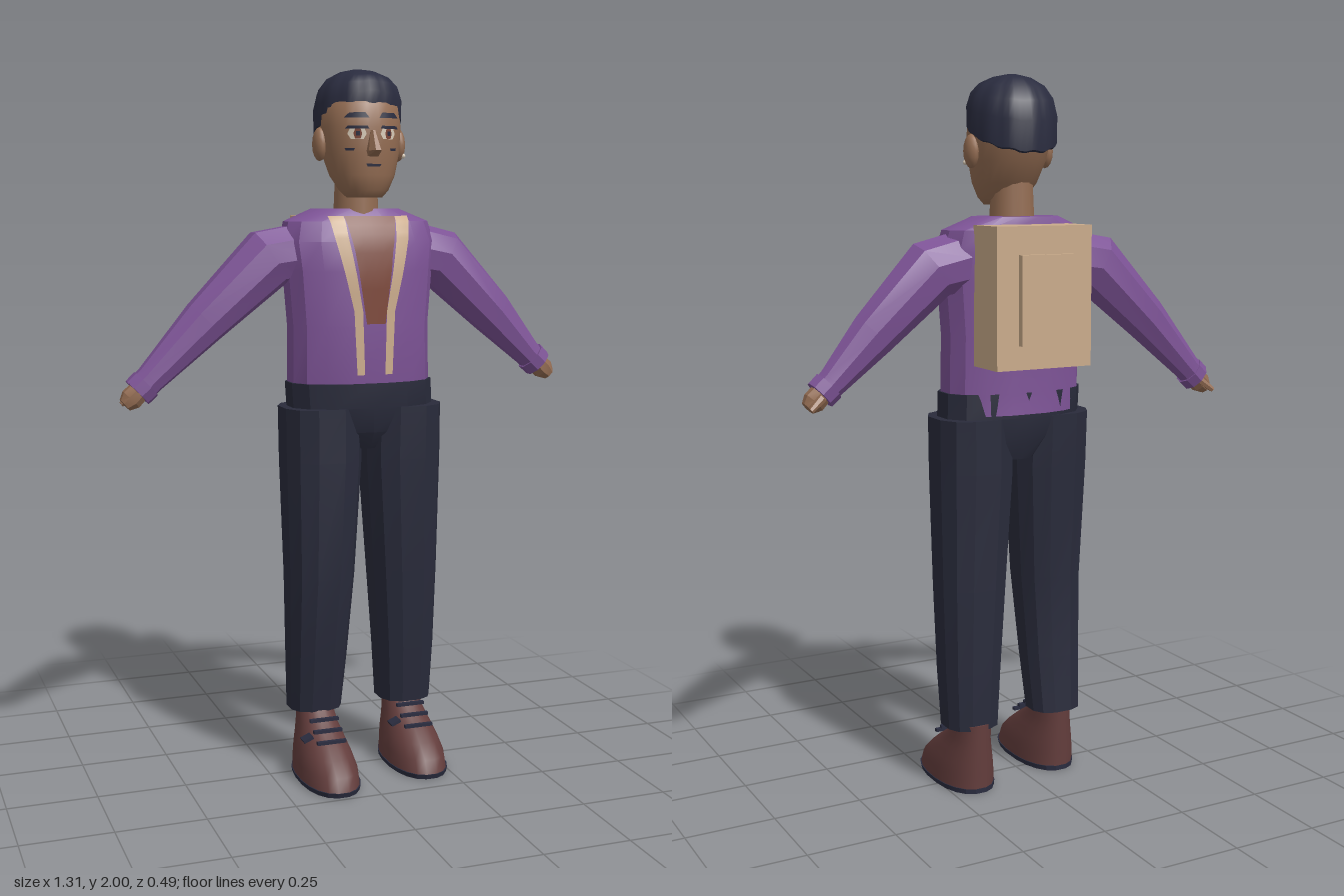
import * as THREE from 'three';
import { toCreasedNormals } from 'three/addons/utils/BufferGeometryUtils.js';

const CX = 0.022; // body axis

const mat = (name, color, side = THREE.FrontSide) => {
  const m = new THREE.MeshStandardMaterial({ color, side });
  m.name = name;
  return m;
};

// Capped skin through rings { c: centre, u, v: half-axis vectors }, p = roundness power
function loft(rings, sides, p = 2, crease = 0.4, rule = null) {
  const pos = [], idx = [];
  const pw = (t) => Math.sign(t) * Math.abs(t) ** (2 / p);
  for (const { c, u, v } of rings) {
    for (let j = 0; j < sides; j++) {
      const a = ((j + 0.5) / sides) * Math.PI * 2;
      const q = c.clone().addScaledVector(u, pw(Math.cos(a))).addScaledVector(v, pw(Math.sin(a)));
      if (rule) rule(q, a);
      pos.push(q.x, q.y, q.z);
    }
  }
  const last = rings.length - 1;
  for (let i = 0; i < last; i++) {
    for (let j = 0; j < sides; j++) {
      const a = i * sides + j, b = i * sides + ((j + 1) % sides);
      idx.push(a, a + sides, b, b, a + sides, b + sides);
    }
  }
  for (const [i, top] of [[0, false], [last, true]]) {
    const q = rings[i].c.clone();
    if (rule) rule(q, 0);
    const centre = pos.length / 3;
    pos.push(q.x, q.y, q.z);
    for (let j = 0; j < sides; j++) {
      const a = i * sides + j, b = i * sides + ((j + 1) % sides);
      idx.push(centre, top ? b : a, top ? a : b);
    }
  }
  const g = new THREE.BufferGeometry();
  g.setAttribute('position', new THREE.Float32BufferAttribute(pos, 3));
  g.setIndex(idx);
  return toCreasedNormals(g, crease);
}

// Upright rings from rows [y, x, z, rx, rz]
const upright = (rows) => rows.map(([y, x, z, rx, rz]) => ({
  c: new THREE.Vector3(x, y, z), u: new THREE.Vector3(rx, 0, 0), v: new THREE.Vector3(0, 0, rz),
}));

// Rings across a limb from rows [x, y, z, half height, half depth]
function limb(rows) {
  const pts = rows.map((r) => new THREE.Vector3(r[0], r[1], r[2]));
  const zAxis = new THREE.Vector3(0, 0, 1);
  return rows.map((r, i) => {
    const d = pts[Math.min(i + 1, pts.length - 1)].clone().sub(pts[Math.max(i - 1, 0)]);
    d.z = 0;
    return { c: pts[i], u: d.normalize().cross(zAxis).multiplyScalar(r[3]), v: zAxis.clone().multiplyScalar(r[4]) };
  });
}

// Front depth of an upright lofted body at x, y
function frontZ(rows, p, x, y) {
  let i = 0;
  while (i < rows.length - 2 && y > rows[i + 1][0]) i++;
  const t = THREE.MathUtils.clamp((y - rows[i][0]) / (rows[i + 1][0] - rows[i][0]), 0, 1);
  const [, cx, cz, rx, rz] = rows[i].map((v, k) => THREE.MathUtils.lerp(v, rows[i + 1][k], t));
  return cz + rz * Math.max(0, 1 - Math.abs((x - cx) / rx) ** p) ** (1 / p);
}

// Thin panel following a body; outline rows [left x, right x, y] run downwards
function panel(rows, p, outline, off) {
  const pos = [], idx = [], cols = 4, steps = 4;
  const n = (outline.length - 1) * steps;
  for (let r = 0; r <= n; r++) {
    const i = Math.min(Math.floor(r / steps), outline.length - 2);
    const [xl, xr, y] = outline[i].map((v, k) => THREE.MathUtils.lerp(v, outline[i + 1][k], r / steps - i));
    for (let c = 0; c <= cols; c++) {
      const x = xl + ((xr - xl) * c) / cols;
      pos.push(x, y, frontZ(rows, p, x, y) + off);
      if (r < n && c < cols) {
        const a = r * (cols + 1) + c, b = a + cols + 1;
        idx.push(a, b, a + 1, a + 1, b, b + 1);
      }
    }
  }
  const g = new THREE.BufferGeometry();
  g.setAttribute('position', new THREE.Float32BufferAttribute(pos, 3));
  g.setIndex(idx);
  g.computeVertexNormals();
  return g;
}

export function createModel() {
  const root = new THREE.Group();
  root.name = 'walker';
  const skin = mat('skin', 0x936c52), purple = mat('purple cloth', 0x7d5396), navy = mat('navy cloth', 0x292b3b);
  const hairMat = mat('hair', 0x2a2c3f, THREE.DoubleSide), tan = mat('tan canvas', 0xcaab8b, THREE.DoubleSide);
  const shirtMat = mat('rust shirt', 0x7c4536, THREE.DoubleSide), leather = mat('shoe leather', 0x633d3c);
  const white = mat('eye white', 0xd8cbb8, THREE.DoubleSide);
  const add = (name, geo, material, x = 0, y = 0, z = 0) => {
    const m = new THREE.Mesh(geo, material);
    m.name = name;
    m.position.set(x, y, z);
    root.add(m);
    return m;
  };

  // Jacket body with open-front trim and shirt
  const torso = [
    [1.08, CX, -0.012, 0.195, 0.113], [1.14, CX, -0.005, 0.206, 0.116], [1.3, CX, -0.008, 0.204, 0.117],
    [1.45, CX, -0.01, 0.216, 0.118], [1.53, CX, -0.016, 0.225, 0.112], [1.585, CX, -0.025, 0.21, 0.1],
    [1.62, CX, -0.035, 0.125, 0.083]];
  add('jacket', loft(upright(torso), 16, 2.4), purple);
  add('shirt', panel(torso, 2.4, [[-0.045, 0.105, 1.6], [-0.025, 0.085, 1.5], [0.005, 0.06, 1.305]], 0.005), shirtMat);
  for (const s of [-1, 1]) {
    const trim = [[0.075, 0.118, 1.6], [0.07, 0.108, 1.54], [0.035, 0.06, 1.34], [0.03, 0.052, 1.165]]
      .map(([a, b, y]) => (s > 0 ? [0.028 + a, 0.028 + b, y] : [0.028 - b, 0.028 - a, y]));
    add('jacketTrim', panel(torso, 2.4, trim, 0.008), tan);
  }

  // Sleeves, cuffs and hands
  const arms = {
    right: [[-0.13, 1.5, -0.025, 0.085, 0.07], [-0.235, 1.485, -0.025, 0.088, 0.076], [-0.42, 1.315, -0.02, 0.066, 0.06],
      [-0.575, 1.163, -0.012, 0.042, 0.04], [-0.612, 1.127, -0.012, 0.042, 0.04]],
    left: [[0.18, 1.5, -0.03, 0.085, 0.07], [0.28, 1.48, -0.033, 0.086, 0.076], [0.45, 1.315, -0.03, 0.066, 0.056],
      [0.565, 1.195, -0.027, 0.042, 0.038], [0.6, 1.163, -0.027, 0.04, 0.036]],
  };
  for (const [side, rows] of Object.entries(arms)) {
    const s = side === 'left' ? 1 : -1;
    const [x, y, z] = rows[4];
    add(side + 'Sleeve', loft(limb(rows), 9), purple);
    add(side + 'Cuff', loft(limb([[x - s * 0.025, y + 0.023, z, 0.046, 0.043], [x, y, z, 0.045, 0.041]]), 9), purple);
    add(side + 'Hand', loft(limb([[x - s * 0.01, y + 0.01, z, 0.03, 0.028], [x + s * 0.018, y - 0.018, z, 0.032, 0.03],
      [x + s * 0.035, y - 0.033, z, 0.02, 0.022]]), 8), skin);
    add(side + 'Thumb', loft(limb([[x, y - 0.005, z - 0.022, 0.012, 0.01],
      [x + s * 0.038, y - 0.035, z - 0.035, 0.008, 0.008]]), 6), skin);
  }

  // Trousers
  add('trouserSeat', loft(upright([[0.95, 0.033, -0.015, 0.065, 0.08], [1.0, 0.033, -0.008, 0.12, 0.105],
    [1.07, 0.026, -0.005, 0.212, 0.117], [1.14, CX, -0.003, 0.213, 0.117]]), 14, 2.4), navy);
  const legs = {
    right: [[0.185, -0.107, -0.028, 0.078, 0.07], [0.35, -0.107, -0.005, 0.087, 0.08], [0.59, -0.105, 0.018, 0.098, 0.098],
      [0.92, -0.094, 0, 0.114, 0.113], [1.07, -0.095, -0.003, 0.114, 0.117]],
    left: [[0.185, 0.173, -0.038, 0.079, 0.08], [0.35, 0.17, -0.03, 0.088, 0.09], [0.59, 0.16, -0.017, 0.1, 0.101],
      [0.92, 0.146, -0.004, 0.115, 0.114], [1.07, 0.147, -0.003, 0.114, 0.117]],
  };
  for (const [side, rows] of Object.entries(legs)) add(side + 'TrouserLeg', loft(upright(rows), 12, 2.5), navy);

  // Shoes; f = toe, b = heel along z
  for (const [side, x, f, b] of [['right', -0.107, 0.243, -0.085], ['left', 0.177, 0.197, -0.122]]) {
    const ring = (y, front, rx) => [y, x, (front + b) / 2, rx, (front - b) / 2];
    add(side + 'Sole', loft(upright([ring(0, f - 0.004, 0.082), ring(0.014, f, 0.085)]), 20, 2.3), hairMat);
    add(side + 'Shoe', loft(upright([ring(0.014, f - 0.002, 0.083), ring(0.05, f - 0.018, 0.081), ring(0.085, f - 0.06, 0.074),
      ring(0.12, f - 0.11, 0.064), ring(0.15, f - 0.16, 0.056), ring(0.2, f - 0.215, 0.05)]), 20, 2.2, 0.7), leather);
    for (let i = 0; i < 3; i++) {
      add(side + 'Lace', new THREE.BoxGeometry(0.085, 0.009, 0.012), hairMat, x, 0.125 + i * 0.022, f - 0.11 - i * 0.033);
    }
    const bow = add(side + 'LaceEnd', new THREE.BoxGeometry(0.03, 0.008, 0.035), hairMat, x - 0.06, 0.13, f - 0.15);
    bow.rotation.z = 0.4;
  }

  // Backpack with raised pocket
  add('backpack', new THREE.BoxGeometry(0.288, 0.38, 0.135), tan, 0.035, 1.41, -0.16);
  add('backpackPocket', new THREE.BoxGeometry(0.158, 0.24, 0.02), tan, 0.035, 1.405, -0.236);

  // Head, neck and ears
  const head = [
    [1.65, CX, 0.04, 0.05, 0.05], [1.67, CX, 0.038, 0.068, 0.068], [1.71, CX, 0.025, 0.09, 0.088],
    [1.77, CX, 0.01, 0.106, 0.109], [1.84, CX, -0.002, 0.114, 0.121], [1.9, CX, -0.012, 0.112, 0.119],
    [1.96, CX, -0.015, 0.08, 0.08]];
  add('head', loft(upright(head), 24, 2.1, 1), skin);
  add('neck', new THREE.CylinderGeometry(0.058, 0.065, 0.16, 14), skin, 0.015, 1.65, -0.005);
  for (const s of [-1, 1]) {
    add('ear', new THREE.SphereGeometry(1, 12, 8), skin, CX + s * 0.115, 1.795, 0).scale.set(0.02, 0.046, 0.029);
  }
  add('earring', new THREE.SphereGeometry(0.007, 8, 6), white, 0.148, 1.765, 0.015);

  // Face
  add('nose', loft(upright([[1.76, 0.02, 0.115, 0.016, 0.012], [1.775, 0.02, 0.118, 0.02, 0.046],
    [1.83, 0.02, 0.112, 0.008, 0.014]]), 8), skin);
  const face = (name, outline, off, m) => add(name, panel(head, 2.1, outline, off), m);
  for (const s of [-1, 1]) {
    const at = (c, w, y) => [0.02 + s * c - w, 0.02 + s * c + w, y];
    face('eye', [at(0.044, 0.018, 1.834), at(0.044, 0.024, 1.82), at(0.044, 0.016, 1.806)], 0.005, white);
    face('iris', [at(0.044, 0.007, 1.833), at(0.044, 0.011, 1.82), at(0.044, 0.007, 1.807)], 0.008, shirtMat);
    face('pupil', [at(0.044, 0.005, 1.826), at(0.044, 0.005, 1.815)], 0.01, hairMat);
    face('upperLid', [at(0.045, 0.024, 1.841), at(0.046, 0.03, 1.833)], 0.014, hairMat);
    face('eyebrow', [at(0.044, 0.02, 1.876), at(0.046, 0.032, 1.862)], 0.014, hairMat);
    face('cheekMark', [at(0.062, 0.012, 1.782), at(0.062, 0.009, 1.775)], 0.005, hairMat);
  }
  face('mouth', [[0, 0.044, 1.74], [0.004, 0.04, 1.733]], 0.005, hairMat);

  // Hair: lobed cap, swept up at the brow and lower at the nape
  const capRows = [[0, 0.93], [0.02, 1], [0.4, 1.01], [0.65, 0.92], [0.83, 0.73], [0.95, 0.42], [1, 0.1]]
    .map(([h, r]) => [h, 0.025, -0.024, 0.123 * r, 0.13 * r]);
  add('hair', loft(upright(capRows), 48, 2, 0.6, (q, a) => {
    const front = Math.sin(a), lobe = 1 - 0.035 * Math.abs(Math.sin(a * 6)) * (q.y > 0.01 ? 1 : 0.4);
    q.x = 0.025 + (q.x - 0.025) * lobe;
    q.z = -0.024 + (q.z + 0.024) * lobe;
    const hem = 1.84 + 0.045 * front + 0.012 * Math.max(0, front) ** 4 - 0.008 * Math.abs(Math.sin(a * 6));
    q.y = hem + (2 - hem) * q.y;
  }), hairMat);

  return root;
}
